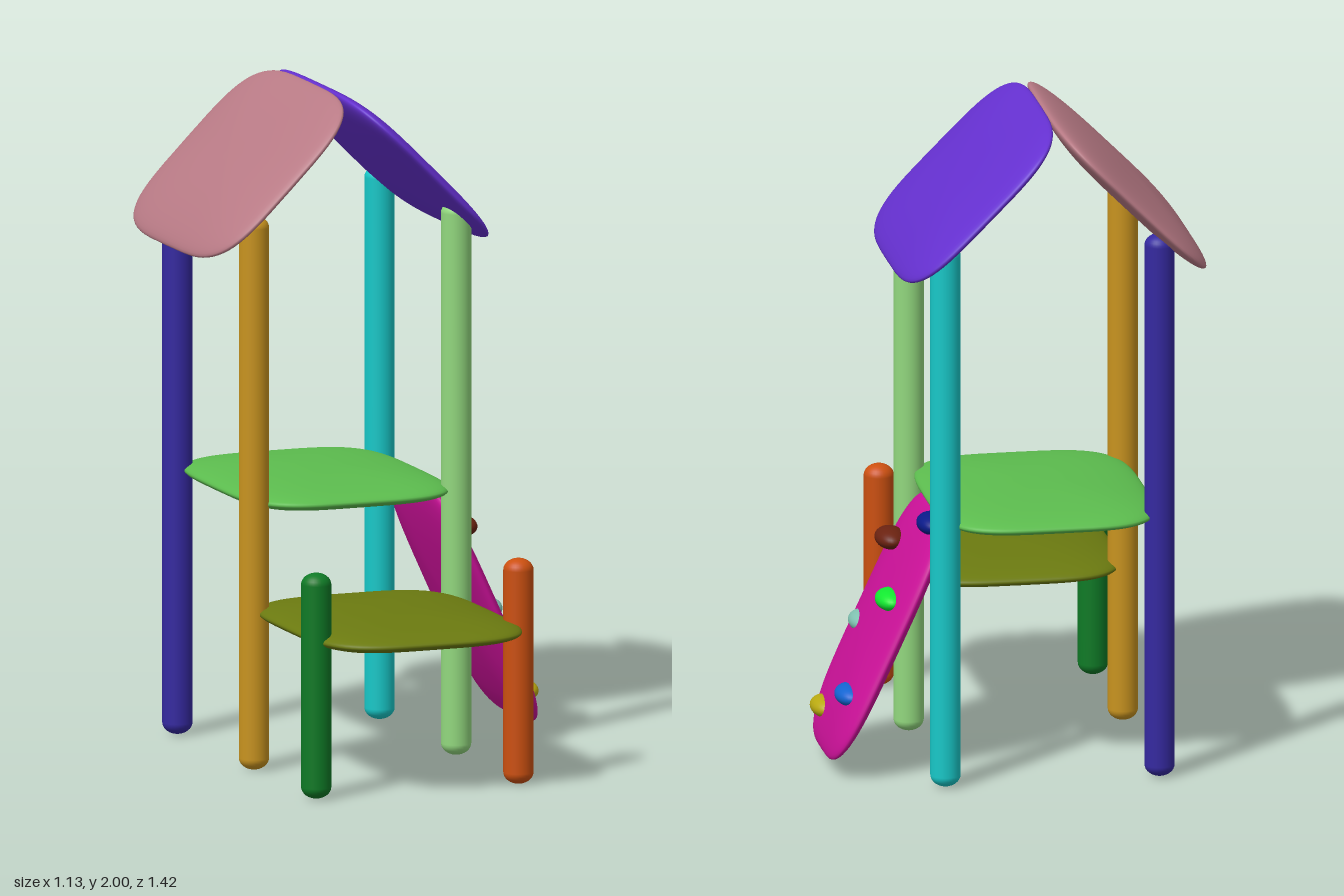
import * as THREE from 'three';
import { mergeVertices } from 'three/addons/utils/BufferGeometryUtils.js';

// Lens-shaped panel: rounded-rectangle outline in x/z, elliptical thickness in y.
function panelGeometry(hx, hy, hz) {
  const geo = new THREE.SphereGeometry(1, 64, 32);
  geo.deleteAttribute('uv');
  geo.deleteAttribute('normal');
  const p = geo.attributes.position;
  for (let i = 0; i < p.count; i++) {
    const x = p.getX(i), z = p.getZ(i);
    const r = Math.hypot(x, z) || 1e-9;
    const squared = (v) => Math.sign(v) * Math.sqrt(Math.abs(v / r)) * r;
    p.setXYZ(i, squared(x) * hx, p.getY(i) * hy, squared(z) * hz);
  }
  const merged = mergeVertices(geo, 1e-5);
  merged.computeVertexNormals();
  return merged;
}

// Upright pole from the ground with softly domed ends.
function postGeometry(height, radius = 0.045, cap = 0.035) {
  const pts = [];
  const steps = 8;
  for (let i = 0; i <= steps; i++) {
    const a = (i / steps) * Math.PI / 2;
    pts.push(new THREE.Vector2(radius * Math.sin(a), cap * (1 - Math.cos(a))));
  }
  const top = pts.map((v) => new THREE.Vector2(v.x, height - v.y)).reverse();
  return new THREE.LatheGeometry([...pts, ...top], 32);
}

export function createModel() {
  const model = new THREE.Group();
  model.name = 'playTower';

  const add = (name, geometry, color, x, y, z, tilt = 0) => {
    const mesh = new THREE.Mesh(geometry, new THREE.MeshStandardMaterial({ color }));
    mesh.name = name;
    mesh.position.set(x, y, z);
    mesh.rotation.z = tilt;
    model.add(mesh);
    return mesh;
  };

  // Posts
  const left = 0.235, right = -0.41;
  const tall = postGeometry(1.67), low = postGeometry(0.68);
  add('frontRightLowPost', low, 0x0f7a26, right, 0, 0.515);
  add('frontLeftLowPost', low, 0xcc5010, left, 0, 0.515);
  add('middleRightPost', tall, 0xc8931f, right, 0, 0.015);
  add('middleLeftPost', tall, 0x92d87e, left, 0, 0.015);
  add('backRightPost', tall, 0x3529a0, right, 0, -0.6);
  add('backLeftPost', tall, 0x18c8c8, left, 0, -0.6);

  // Platforms
  add('upperPlatform', panelGeometry(0.33, 0.047, 0.415), 0x5cbc4e, -0.09, 0.8, -0.292);
  add('lowerPlatform', panelGeometry(0.33, 0.047, 0.41), 0x6b7a10, -0.09, 0.473, 0.3);

  // Roof halves
  const roof = panelGeometry(0.325, 0.045, 0.417);
  add('rightRoofPanel', roof, 0xb87a85, -0.337, 1.767, -0.292, Math.PI / 4);
  add('leftRoofPanel', roof, 0x6530d0, 0.125, 1.767, -0.292, -Math.PI / 4);

  // Climbing wall leaning on the upper platform
  add('climbingWall', panelGeometry(0.41, 0.047, 0.265), 0xcc1199, 0.38, 0.415, -0.295, -1.14);

  // Climbing holds: x, y, z, color
  const holdGeometry = new THREE.SphereGeometry(1, 32, 20);
  [
    [0.24, 0.755, -0.405, 0x0a1a88],
    [0.325, 0.652, -0.178, 0x6a2210],
    [0.365, 0.527, -0.405, 0x12e830],
    [0.405, 0.4, -0.178, 0x7fc0b0],
    [0.487, 0.24, -0.405, 0x1264d0],
    [0.52, 0.143, -0.178, 0xb8a810],
  ].forEach(([x, y, z, color], i) => {
    add(`climbingHold${i + 1}`, holdGeometry, color, x, y, z).scale.set(0.046, 0.032, 0.075);
  });

  return model;
}
